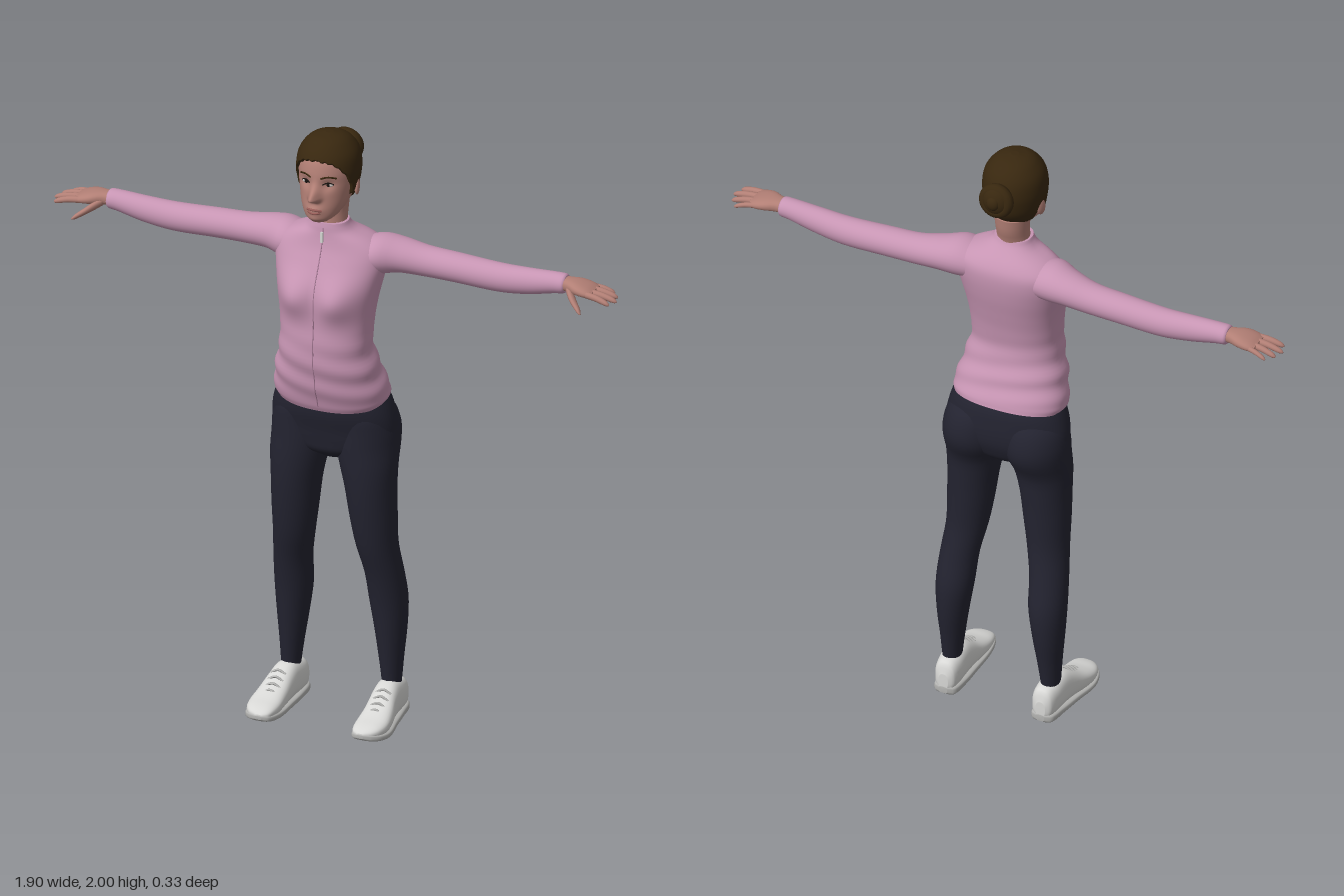
import * as THREE from 'three';

const mat = (name, color, side = THREE.FrontSide) => Object.assign(new THREE.MeshStandardMaterial({ color, side }), { name });
const M = {
  skin: mat('skin', 0xb27f75), lips: mat('lips', 0x9a5f5a), hair: mat('hair', 0x38270f, THREE.DoubleSide),
  eye: mat('eye white', 0xc8c0bc), iris: mat('iris', 0x17120f), top: mat('pink knit', 0xc795b3),
  seam: mat('seam', 0xac7e9a), pants: mat('navy leggings', 0x232330), shoe: mat('shoe white', 0xd8d8d6), sole: mat('sole grey', 0xb4b4b2),
};
const gauss = (d, s) => Math.exp(-(d * d) / (2 * s * s));
const spow = (v, e) => Math.sign(v) * Math.abs(v) ** (2 / e);

// Smooth interpolation of a table whose first column is the position along the loft
function sample(rows, s) {
  let i = 0;
  while (i < rows.length - 2 && s > rows[i + 1][0]) i++;
  const a = rows[i], b = rows[i + 1], h = b[0] - a[0], u = (s - a[0]) / h;
  const slope = (k, c) => {
    const p = rows[Math.max(k - 1, 0)], q = rows[Math.min(k + 1, rows.length - 1)];
    return (q[c] - p[c]) / (q[0] - p[0]);
  };
  return a.map((v, c) => c === 0 ? s :
    (2 * u ** 3 - 3 * u * u + 1) * v + (u ** 3 - 2 * u * u + u) * h * slope(i, c) +
    (3 * u * u - 2 * u ** 3) * b[c] + (u ** 3 - u * u) * h * slope(i + 1, c));
}

// Point on a section row [s, centreX, halfWidth, zBack, zFront]
function section(rows, s, t, e = 2) {
  const [, cx, hw, zb, zf] = sample(rows, s);
  return new THREE.Vector3(cx + hw * spow(Math.sin(t), e), s, (zb + zf) / 2 + (zf - zb) / 2 * spow(Math.cos(t), e));
}

// Closed skin over rings point(v, t), v from 0 to 1
function skin(point, m, n, caps = [true, true]) {
  const pos = [], idx = [];
  for (let i = 0; i <= m; i++) for (let j = 0; j < n; j++) pos.push(...point(i / m, j / n * Math.PI * 2).toArray());
  for (let i = 0; i < m; i++) for (let j = 0; j < n; j++) {
    const k = (j + 1) % n, a = i * n + j, b = i * n + k;
    idx.push(a, b, b + n, a, b + n, a + n);
  }
  caps.forEach((on, end) => {
    if (!on) return;
    const base = end * m * n, c = pos.length / 3, mid = [0, 0, 0];
    for (let j = 0; j < n; j++) for (let k = 0; k < 3; k++) mid[k] += pos[(base + j) * 3 + k] / n;
    pos.push(...mid);
    for (let j = 0; j < n; j++) {
      const a = base + j, b = base + (j + 1) % n;
      idx.push(...(end ? [c, a, b] : [c, b, a]));
    }
  });
  const g = new THREE.BufferGeometry();
  g.setAttribute('position', new THREE.Float32BufferAttribute(pos, 3));
  g.setIndex(idx);
  g.computeVertexNormals();
  return g;
}
function loft(rows, m = 30, n = 32, e = 2, warp = p => p) {
  const s0 = rows[0][0], s1 = rows[rows.length - 1][0];
  return skin((v, t) => warp(section(rows, s0 + (s1 - s0) * (0.5 - 0.5 * Math.cos(v * Math.PI)), t, e)), m, n);
}
const ball = (x, y, z, sx, sy, sz) => new THREE.SphereGeometry(1, 24, 16).scale(sx, sy, sz).translate(x, y, z);
const tube = (pts, r, n = 24) => new THREE.TubeGeometry(new THREE.CatmullRomCurve3(pts), n, r, 6);

// Head shape with facial relief
const headRows = [[1.735, 0, .03, .05, .112], [1.75, 0, .05, .01, .123], [1.78, 0, .07, -.045, .124], [1.82, 0, .083, -.08, .12],
  [1.86, 0, .09, -.092, .116], [1.9, 0, .092, -.095, .113], [1.94, 0, .084, -.085, .1], [1.97, 0, .061, -.06, .074],
  [1.985, 0, .036, -.03, .047], [1.992, 0, .004, .003, .01]];
function headPoint(y, t, off = 0) {
  const p = section(headRows, y, t);
  if (Math.cos(t) > 0) {
    const ax = Math.abs(p.x);
    p.z += .038 * gauss(p.x, .011) * gauss(y - 1.822, y > 1.822 ? .022 : .008)
      + .007 * gauss(ax - .012, .006) * gauss(y - 1.816, .007)
      - .009 * gauss(ax - .036, .014) * gauss(y - 1.862, .012)
      + .008 * gauss(p.x, .018) * gauss(y - 1.778, .01) + .005 * gauss(p.x, .015) * gauss(y - 1.75, .01);
  }
  const up = Math.max(0, (y - 1.9) / .092);
  return p.add(new THREE.Vector3(Math.sin(t) * off, up * off, Math.cos(t) * off));
}
const onFace = (x, y, off = 0) => {
  const p = headPoint(y, Math.asin(x / sample(headRows, y)[2]));
  return p.setZ(p.z + off);
};

// Pullover body: bust, slanted hem and soft folds
const torsoRows = [[1.1, 0, .18, -.142, .088], [1.12, 0, .187, -.137, .097], [1.2, 0, .172, -.108, .122], [1.3, 0, .148, -.08, .137],
  [1.38, 0, .15, -.086, .13], [1.45, 0, .158, -.1, .124], [1.52, 0, .172, -.115, .113], [1.58, 0, .183, -.122, .09],
  [1.62, 0, .178, -.118, .072], [1.65, 0, .14, -.1, .063], [1.675, 0, .085, -.072, .058], [1.69, 0, .068, -.058, .056], [1.705, 0, .06, -.05, .053]];
function torsoWarp(p) {
  const low = THREE.MathUtils.clamp((1.36 - p.y) / .26, 0, 1);
  if (p.z > 0) p.z += .036 * gauss(Math.abs(p.x) - .072, .045) * gauss(p.y - 1.475, .045);
  const fold = 1 + .025 * Math.sin(low * Math.PI) * Math.sin(p.y * 75 + p.x * 14 + p.z * 9);
  p.x *= fold; p.z *= fold;
  p.y -= (p.z + .02) * .2 * low;
  return p;
}

export function createModel() {
  const model = new THREE.Group();
  const add = (name, g, m) => {
    const mesh = new THREE.Mesh(g, m);
    mesh.name = name;
    model.add(mesh);
  };
  // Left part plus its mirrored right twin
  const pair = (name, g, m) => {
    const r = g.clone().scale(-1, 1, 1), ix = r.index.array;
    for (let i = 0; i < ix.length; i += 3) [ix[i + 1], ix[i + 2]] = [ix[i + 2], ix[i + 1]];
    r.computeVertexNormals();
    add(name + 'Left', g, m);
    add(name + 'Right', r, m);
  };
  // Lofts along x; rows are [x, y, z, halfHeight, halfDepth]
  const along = (rows, m, n, e) => loft(rows.map(([x, y, z, ry, rz]) => [x, -y, ry, z - rz, z + rz]), m, n, e).rotateZ(-Math.PI / 2);

  // Pullover
  add('pulloverBody', loft(torsoRows, 70, 72, 2.3, torsoWarp), M.top);
  pair('sleeve', along([[.1, 1.59, -.03, .055, .07], [.16, 1.597, -.035, .063, .078], [.22, 1.596, -.05, .055, .065], [.3, 1.587, -.058, .049, .052],
    [.4, 1.583, -.06, .047, .049], [.55, 1.577, -.06, .046, .044], [.65, 1.584, -.058, .042, .039], [.74, 1.596, -.058, .034, .034],
    [.77, 1.598, -.058, .031, .033], [.775, 1.598, -.058, .026, .028]], 44, 32), M.top);
  const zip = [];
  for (let y = 1.12; y < 1.7; y += .03) zip.push(torsoWarp(section(torsoRows, y, 0, 2.3)));
  add('frontZip', tube(zip, .0018, 60), M.seam);
  add('zipPull', new THREE.BoxGeometry(.008, .035, .006).translate(0, 1.662, .066), M.shoe);

  // Leggings
  add('leggingsHips', loft([[.885, 0, .04, -.06, .0], [.92, 0, .13, -.115, .048], [.96, 0, .196, -.138, .06], [1, 0, .206, -.148, .067],
    [1.06, 0, .199, -.146, .08], [1.12, 0, .178, -.132, .08], [1.16, 0, .15, -.09, .07]], 36, 48, 2.2), M.pants);
  pair('leggingsLeg', loft([[.09, .17, .028, -.12, -.048], [.13, .17, .031, -.125, -.046], [.2, .168, .038, -.135, -.04], [.3, .165, .05, -.15, -.03],
    [.4, .16, .06, -.152, -.018], [.5, .154, .061, -.13, .002], [.6, .14, .066, -.112, .03], [.7, .132, .074, -.112, .048],
    [.8, .125, .081, -.116, .06], [.88, .117, .092, -.124, .064], [.95, .107, .102, -.157, .063], [1, .106, .101, -.162, .062],
    [1.06, .1, .09, -.142, .06], [1.1, .09, .06, -.1, .04]], 50, 36), M.pants);

  // Shoes: rows are [z, x, halfWidth, -top, -bottom]
  pair('shoe', loft([[-.155, .168, .016, -.075, -.02], [-.145, .168, .032, -.108, -.01], [-.11, .169, .041, -.122, -.01], [-.05, .172, .043, -.132, -.01],
    [-.01, .175, .045, -.118, -.01], [.04, .18, .05, -.088, -.01], [.09, .182, .053, -.068, -.012], [.13, .18, .046, -.058, -.018],
    [.155, .175, .03, -.048, -.024], [.164, .172, .01, -.04, -.03]], 36, 32, 2.5).rotateX(Math.PI / 2), M.shoe);
  pair('sole', loft([[-.157, .168, .014, -.03, -.008], [-.145, .168, .036, -.032, 0], [-.08, .17, .046, -.03, 0], [0, .176, .051, -.028, 0],
    [.08, .183, .057, -.028, -.001], [.13, .181, .05, -.034, -.008], [.157, .175, .032, -.038, -.016], [.166, .172, .01, -.036, -.024]],
    30, 32, 3.5).rotateX(Math.PI / 2), M.sole);
  for (let i = 0; i < 4; i++) {
    const z = -.005 + i * .022, y = .117 - i * .0135;
    pair('lace' + (i + 1), tube([[.153, -.009], [.178, .003], [.203, -.009]].map(([x, d]) => new THREE.Vector3(x, y + d, z)), .004, 10), M.sole);
  }

  // Hands
  pair('palm', along([[.75, 1.598, -.058, .022, .026], [.785, 1.6, -.056, .021, .03], [.82, 1.599, -.053, .02, .045], [.855, 1.594, -.052, .016, .047],
    [.875, 1.591, -.052, .009, .04]], 16, 24, 2.4), M.skin);
  [['index', .94, -.008, -.018], ['middle', .952, -.04, -.04], ['ring', .942, -.072, -.064], ['little', .92, -.1, -.087]].forEach(([n, tip, z1, z0], i) => {
    const r = i === 3 ? .0085 : .0105, row = (u, k) => [.845 + (tip - .845) * u, 1.594 - .018 * u * u, z0 + (z1 - z0) * u, r * k, r * k];
    pair(n + 'Finger', along([row(0, 1), row(.5, 1), row(.85, .85), row(.96, .55), row(1, .15)], 14, 12), M.skin);
  });
  pair('thumb', along([[.785, 1.592, -.04, .012, .014], [.81, 1.58, -.012, .014, .019], [.835, 1.565, .012, .011, .015],
    [.855, 1.553, .029, .008, .01], [.862, 1.549, .035, .002, .003]], 14, 14), M.skin);

  // Neck and head
  add('neck', loft([[1.66, 0, .056, -.052, .05], [1.7, 0, .053, -.052, .047], [1.74, 0, .053, -.064, .045], [1.79, 0, .058, -.07, .05]], 12, 32), M.skin);
  add('head', skin((v, t) => headPoint(1.735 + .257 * (.5 - .5 * Math.cos(v * Math.PI)), t), 90, 128), M.skin);
  pair('ear', ball(0, 0, 0, .009, .031, .018).rotateX(-.15).rotateY(.35).translate(.091, 1.832, .002), M.skin);

  // Face details
  pair('eye', ball(...onFace(.037, 1.862, -.001).toArray(), .014, .0065, .005), M.eye);
  pair('iris', ball(...onFace(.037, 1.862, .002).toArray(), .0062, .0062, .003), M.iris);
  const arc = (x0, x1, y, rise, off) => [0, .25, .5, .75, 1].map(u => onFace(x0 + (x1 - x0) * u, y + rise * Math.sin(u * Math.PI), off));
  pair('upperLid', tube(arc(.021, .053, 1.863, .006, .002), .0022), M.iris);
  pair('brow', tube(arc(.016, .06, 1.884, .006, -.001), .0032), M.hair);
  add('upperLip', tube(arc(-.024, .024, 1.779, .003, -.001), .0042), M.lips);
  add('lowerLip', tube(arc(-.02, .02, 1.774, -.004, -.001), .0045), M.lips);

  // Hair: cap that grows upward from the hairline, with a coiled bun
  const hairline = [[0, 1.935], [.55, 1.926], [.95, 1.895], [1.25, 1.85], [1.45, 1.81], [1.65, 1.835], [1.85, 1.815], [2.1, 1.78], [Math.PI, 1.757]];
  add('hairCap', skin((v, t) => {
    const a = t > Math.PI ? Math.PI * 2 - t : t, y0 = sample(hairline, a)[1] + .002 * Math.sin(a * 26);
    return headPoint(y0 + (1.992 - y0) * Math.sin(v * Math.PI / 2), t, v === 0 ? -.004 : .0085);
  }, 36, 128, [false, true]), M.hair);
  add('bun', ball(0, 1.902, -.115, .05, .054, .04), M.hair);
  add('bunCoil', new THREE.TorusGeometry(.038, .02, 12, 36).rotateZ(.4).rotateX(.12).translate(0, 1.902, -.122), M.hair);
  add('bunCentre', ball(0, 1.905, -.146, .022, .024, .016), M.hair);
  return model;
}
